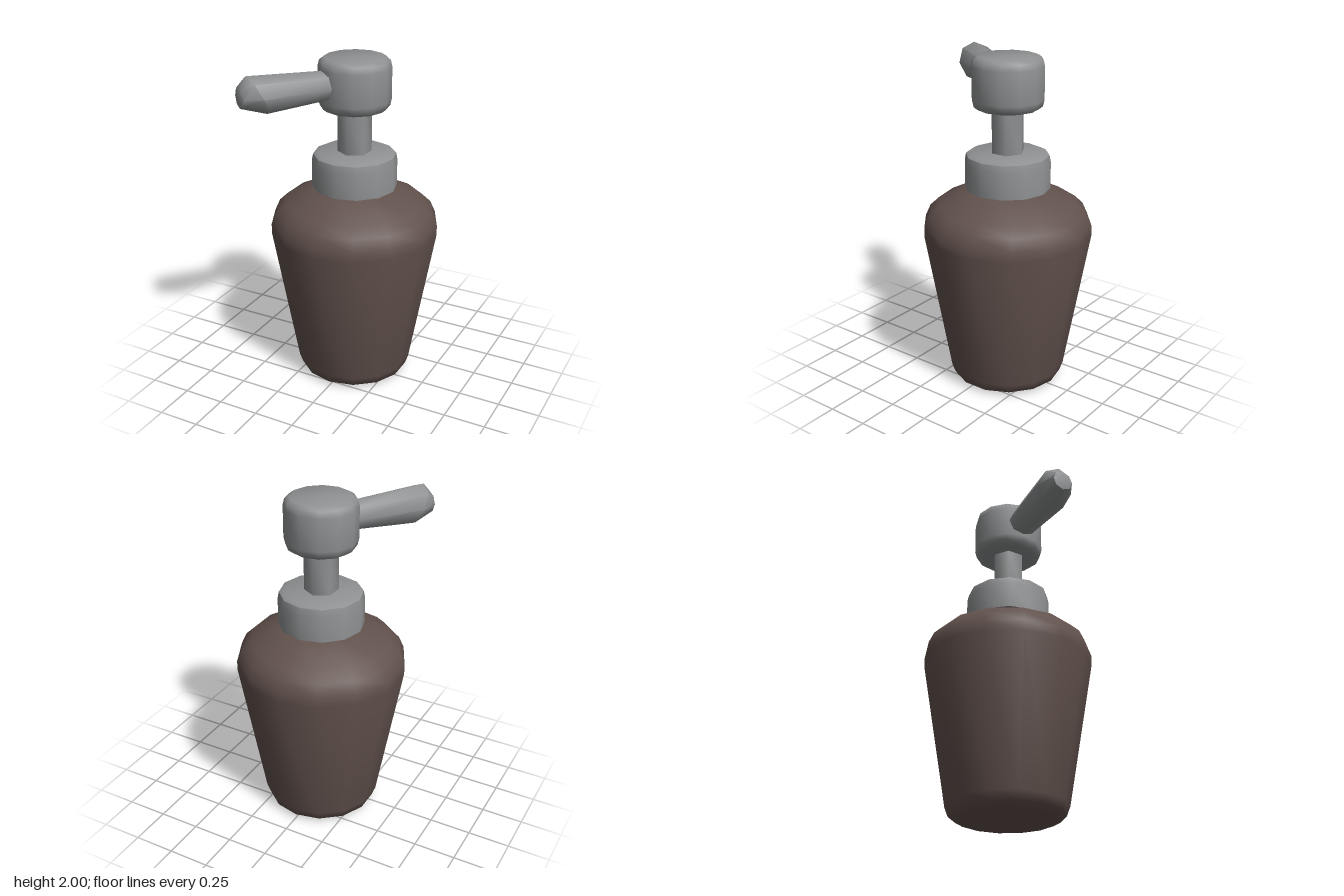
import * as THREE from 'three';
import { toCreasedNormals } from 'three/addons/utils/BufferGeometryUtils.js';

// Faceted turned solid from [radius, height] pairs, listed bottom to top
function turned(profile, sides, crease = 0.9) {
  const points = profile.map(([r, y]) => new THREE.Vector2(r, y));
  return toCreasedNormals(new THREE.LatheGeometry(points, sides), crease);
}

function addPart(parent, name, geometry, material) {
  const mesh = new THREE.Mesh(geometry, material);
  mesh.name = name;
  parent.add(mesh);
  return mesh;
}

// Flared spout along +z whose rounded end reaches further at the top
function spoutGeometry() {
  const points = [[0, 0.08], [0.08, 0.08], [0.088, 0.2], [0.113, 0.6], [0.062, 0.7], [0, 0.712]]
    .map(([r, y]) => new THREE.Vector2(r, y));
  const geometry = new THREE.LatheGeometry(points, 8);
  geometry.rotateX(Math.PI / 2);
  const pos = geometry.attributes.position;
  for (let i = 0; i < pos.count; i++) {
    const z = pos.getZ(i);
    if (z > 0.5 && z < 0.65) pos.setZ(i, z + 0.5 * pos.getY(i));
  }
  return toCreasedNormals(geometry, 0.9);
}

export function createModel() {
  const brown = new THREE.MeshStandardMaterial({ color: 0x62524d });
  brown.name = 'brown bottle';
  const grey = new THREE.MeshStandardMaterial({ color: 0x8f9192 });
  grey.name = 'grey pump';

  const model = new THREE.Group();
  model.name = 'soapDispenser';
  const axis = new THREE.Group();
  axis.name = 'dispenser';
  axis.position.z = -0.045;
  model.add(axis);

  // Tapered bottle with soft base and sloping shoulder
  addPart(axis, 'bottle', turned([
    [0, 0], [0.29, 0], [0.335, 0.025], [0.355, 0.08],
    [0.505, 0.95], [0.505, 1.01], [0.473, 1.08], [0.42, 1.13], [0.22, 1.23], [0, 1.23],
  ], 14), brown);

  // Screw collar
  addPart(axis, 'collar', turned([
    [0, 1.225], [0.253, 1.225], [0.253, 1.385], [0.245, 1.425], [0.215, 1.44], [0, 1.44],
  ], 12), grey);

  // Pump stem
  addPart(axis, 'stem', turned([[0.1, 1.4], [0.1, 1.74]], 6, 1.1), grey);

  // Pump head, turned so the spout points to the front right
  const head = new THREE.Group();
  head.name = 'pumpHead';
  head.position.y = 1.855;
  head.rotation.y = THREE.MathUtils.degToRad(-35);
  axis.add(head);
  addPart(head, 'headCap', turned([
    [0, -0.155], [0.18, -0.155], [0.203, -0.137], [0.212, -0.1],
    [0.212, 0.09], [0.203, 0.127], [0.175, 0.145], [0, 0.145],
  ], 12), grey);
  addPart(head, 'spout', spoutGeometry(), grey);

  return model;
}
